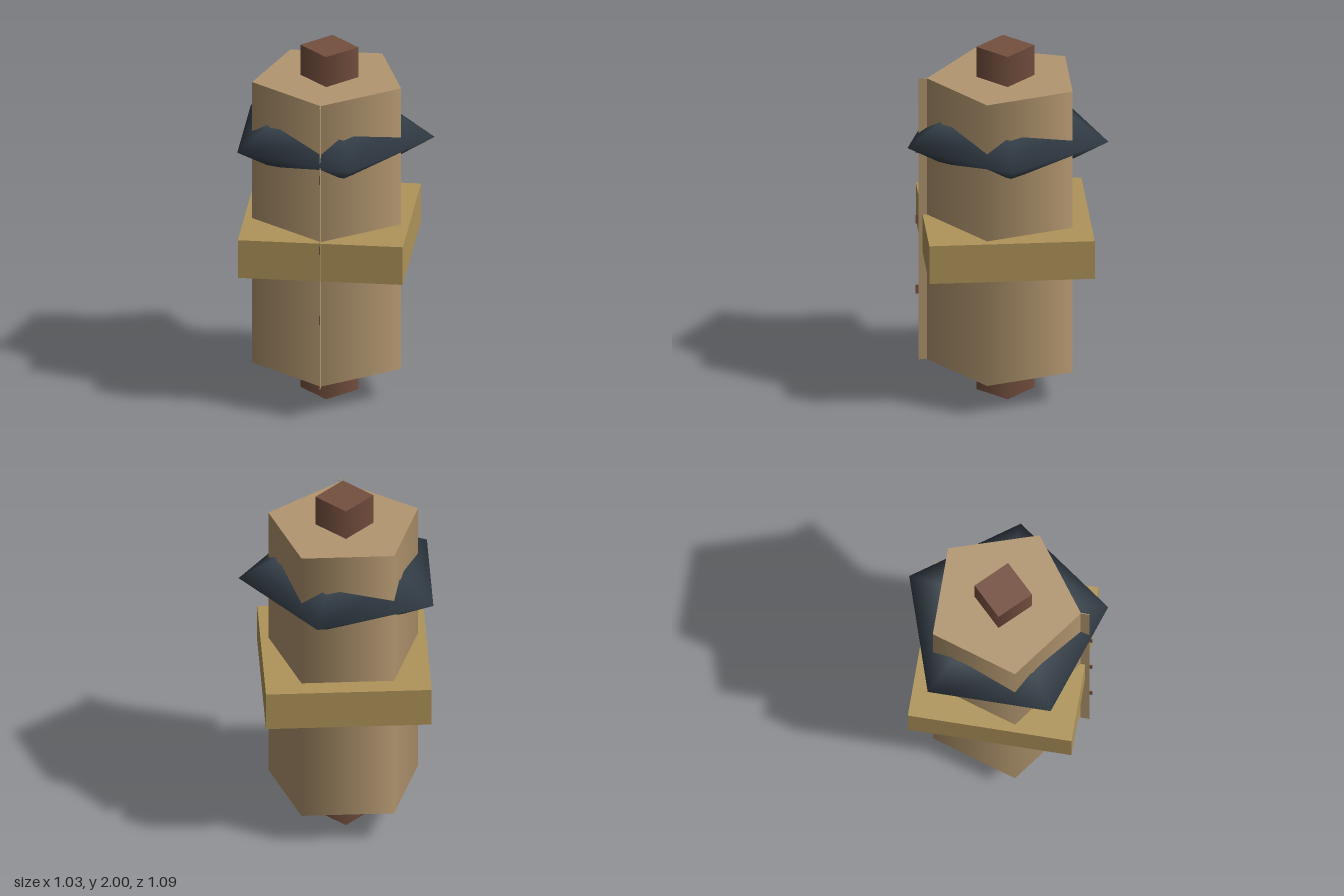
import * as THREE from 'three';

export function createModel() {
  const model = new THREE.Group();
  const scroll = new THREE.Group();
  scroll.name = 'scroll';
  scroll.position.x = -0.057;
  model.add(scroll);

  const paper = new THREE.MeshStandardMaterial({ color: 0xb2966f });
  const wood = new THREE.MeshStandardMaterial({ color: 0x75503f });
  const brass = new THREE.MeshStandardMaterial({ color: 0xb0955a });
  const cord = new THREE.MeshStandardMaterial({ color: 0x36414b });

  const add = (name, geometry, material, y, z = 0) => {
    const mesh = new THREE.Mesh(geometry, material);
    mesh.name = name;
    mesh.position.set(0, y, z);
    scroll.add(mesh);
    return mesh;
  };

  // Central rod showing at both ends
  add('rod', new THREE.CylinderGeometry(0.157, 0.157, 2, 4), wood, 1);

  // Five-sided rolled paper
  add('paperRoll', new THREE.CylinderGeometry(0.425, 0.425, 1.64, 5), paper, 1.005);

  // Square band around the middle
  add('band', new THREE.BoxGeometry(0.895, 0.22, 0.895), brass, 0.92);

  // Flattened five-sided cord ring
  const ring = new THREE.TorusGeometry(0.387, 0.185, 4, 5);
  ring.rotateX(Math.PI / 2);
  ring.scale(1, 0.6, 1);
  add('cordRing', ring, cord, 1.495);

  // Loose paper edge along the front, with small marks on it
  add('paperEdge', new THREE.BoxGeometry(0.004, 1.64, 0.07), paper, 1.005, 0.436);
  for (const y of [0.595, 1.005, 1.415]) {
    add('edgeMark', new THREE.BoxGeometry(0.004, 0.05, 0.016), wood, y, 0.478);
  }

  return model;
}
